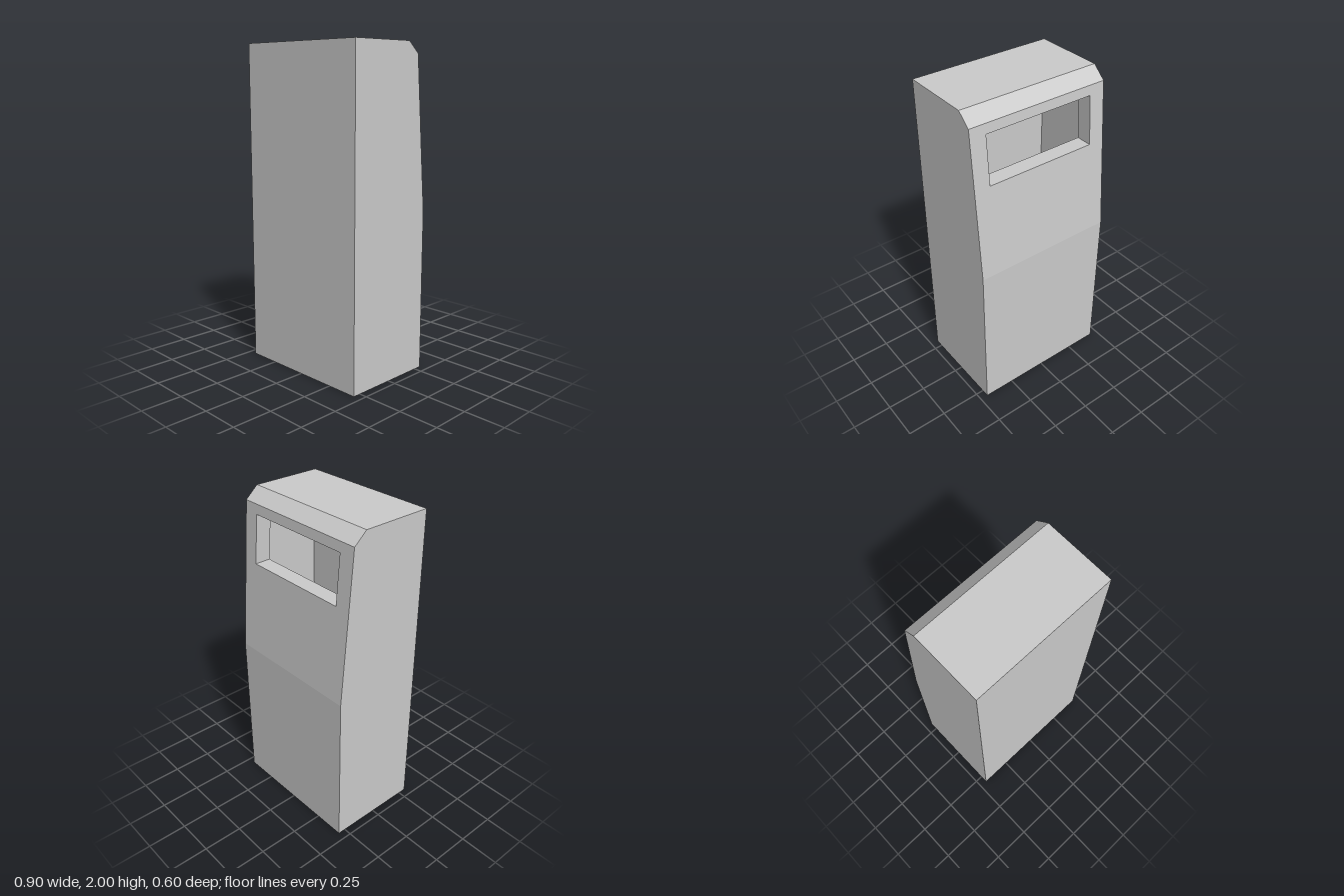
import * as THREE from 'three';

const HOLE = { halfWidth: 0.35, top: 1.87, bottom: 1.572 };

// Turns a list of convex polygons into one flat-shaded mesh
function polygonMesh(name, polygons, flip = false) {
  const pos = [];
  for (const p of polygons) {
    for (let i = 1; i < p.length - 1; i++) {
      const tri = flip ? [p[0], p[i + 1], p[i]] : [p[0], p[i], p[i + 1]];
      tri.forEach(v => pos.push(...v));
    }
  }
  const geo = new THREE.BufferGeometry();
  geo.setAttribute('position', new THREE.Float32BufferAttribute(pos, 3));
  geo.computeVertexNormals();
  const mesh = new THREE.Mesh(geo, new THREE.MeshStandardMaterial({ color: 0xcccccc, flatShading: true }));
  mesh.name = name;
  return mesh;
}

// Rectangle across the width, between two [z, y] profile points
const band = (w, [z1, y1], [z2, y2]) => [[w, y1, z1], [w, y2, z2], [-w, y2, z2], [-w, y1, z1]];

// Corners of the opening on the sloped edge p-q
function holeOn(p, q) {
  const at = y => [p[0] + (q[0] - p[0]) * (y - p[1]) / (q[1] - p[1]), y];
  return band(HOLE.halfWidth, at(HOLE.top), at(HOLE.bottom));
}

// Quads joining two four-cornered loops
const bridge = (a, b) => a.map((_, i) => [a[i], a[(i + 1) % 4], b[(i + 1) % 4], b[i]]);

// Closed prism of a [z, y] profile, with the opening cut in edge number slope
function shell(name, profile, w, slope, inward) {
  const polygons = [];
  let hole;
  profile.forEach((p, i) => {
    const q = profile[(i + 1) % profile.length];
    const face = band(w, p, q);
    if (i === slope) {
      hole = holeOn(p, q);
      polygons.push(...bridge(face, hole));
    } else polygons.push(face);
  });
  polygons.push(profile.map(([z, y]) => [-w, y, z]));
  polygons.push(profile.map(([z, y]) => [w, y, z]).reverse());
  return { mesh: polygonMesh(name, polygons, inward), hole };
}

export function createModel() {
  const group = new THREE.Group();
  group.name = 'litterBin';

  // Outer casing: straight front, sloped upper back, chamfered top edge
  const outer = shell('casing',
    [[0.3, 0], [0.3, 2], [-0.14, 2], [-0.22, 1.93], [-0.3, 1], [-0.3, 0]], 0.45, 3, false);

  // Hollow interior
  const inner = shell('innerCavity',
    [[0.24, 0.06], [0.24, 1.94], [-0.119, 1.94], [-0.2, 1], [-0.2, 0.06]], 0.4, 2, true);

  // Rim through the wall of the opening
  const rim = polygonMesh('openingRim', bridge(outer.hole, inner.hole));

  group.add(outer.mesh, inner.mesh, rim);
  return group;
}
